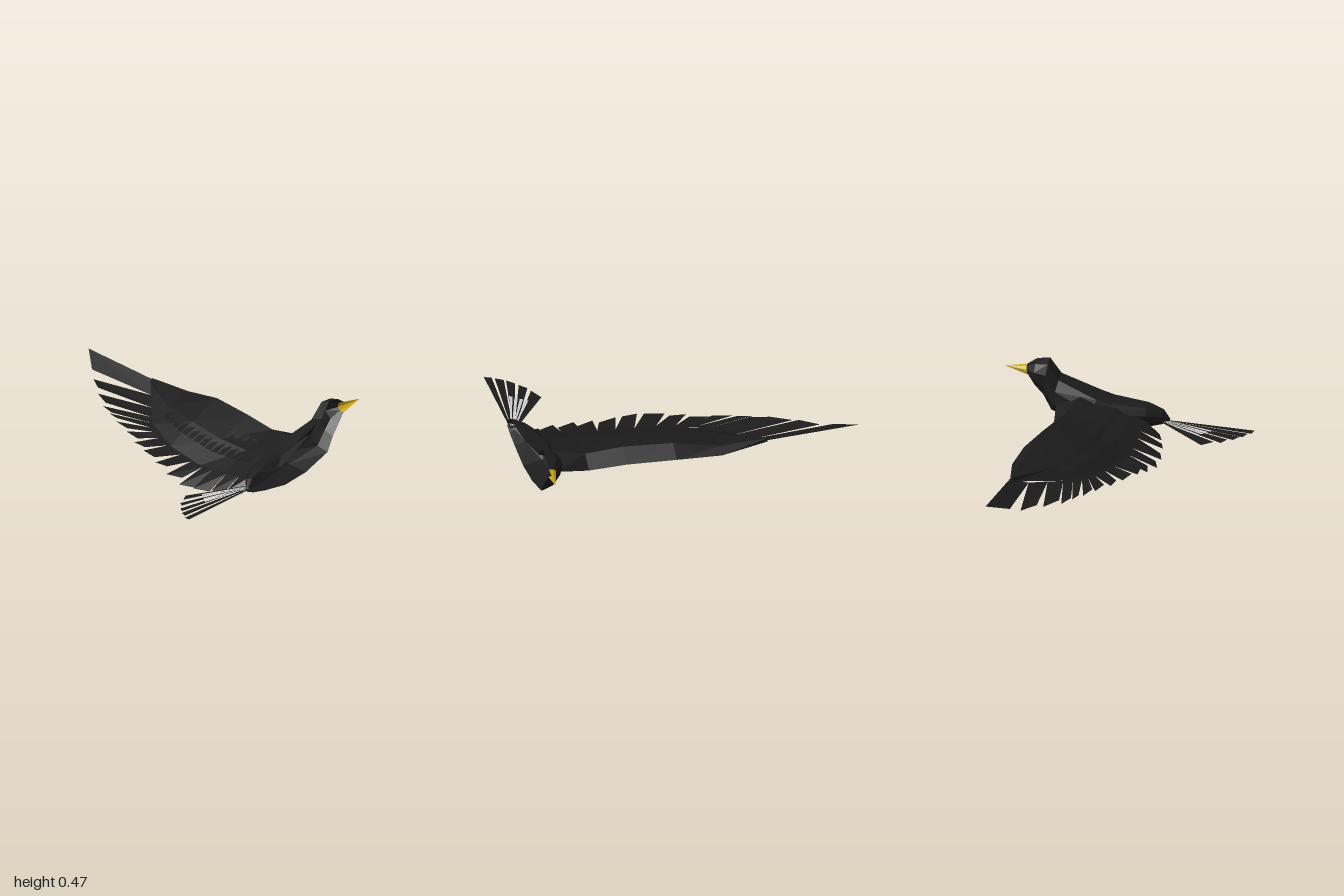
import * as THREE from 'three';

const paint = (color) => new THREE.MeshStandardMaterial({ color, flatShading: true, side: THREE.DoubleSide });
const black = paint(0x1c1c1c), yellow = paint(0xc8a814), grey = paint(0xcccccc);

// Skin a surface through cross-sections, each a list of [x, y, z]
function loft(name, rings, material, closed = false) {
  const pos = [], n = rings[0].length;
  for (let i = 0; i < rings.length - 1; i++) {
    for (let j = 0; j < (closed ? n : n - 1); j++) {
      const k = (j + 1) % n;
      const a = rings[i][j], b = rings[i][k], c = rings[i + 1][k], d = rings[i + 1][j];
      pos.push(...a, ...c, ...b, ...a, ...d, ...c);
    }
  }
  const geo = new THREE.BufferGeometry();
  geo.setAttribute('position', new THREE.Float32BufferAttribute(pos, 3));
  geo.computeVertexNormals();
  const mesh = new THREE.Mesh(geo, material);
  mesh.name = name;
  return mesh;
}

// Open half ring on the centre plane z = 1, from a top point to a bottom point
function halfRing([tx, ty, bx, by, w]) {
  return Array.from({ length: 6 }, (_, j) => {
    const a = (j / 5) * Math.PI, t = (1 - Math.cos(a)) / 2;
    return [tx + (bx - tx) * t, ty + (by - ty) * t, 1 - w * Math.sin(a)];
  });
}

// top x, top y, bottom x, bottom y, half width
const bodySections = [
  [-0.25, 0.115, -0.25, 0.1, 0.02],
  [-0.21, 0.175, -0.2, 0.08, 0.06],
  [-0.12, 0.215, -0.09, 0.06, 0.12],
  [0.09, 0.25, 0.09, 0.04, 0.2],
  [0.17, 0.275, 0.28, 0.065, 0.22],
  [0.42, 0.37, 0.475, 0.135, 0.13],
  [0.49, 0.465, 0.525, 0.225, 0.11],
  [0.57, 0.455, 0.575, 0.29, 0.11],
  [0.63, 0.415, 0.62, 0.35, 0.05],
];
const beakSections = [[0.63, 0.415, 0.62, 0.35, 0.05], [0.765, 0.395, 0.765, 0.394, 0.001]];

// z, leading x y, crest x y, trailing x y, underside y
const wingSections = [
  [0.88, 0.43, 0.22, 0.28, 0.27, -0.13, 0.13, 0.09],
  [0.68, 0.41, 0.17, 0.33, 0.24, -0.1, 0.09, 0.1],
  [0.45, 0.445, 0.19, 0.36, 0.265, -0.07, 0.065, 0.125],
  [0.15, 0.5, 0.2, 0.42, 0.27, 0, 0.085, 0.145],
  [-0.13, 0.525, 0.19, 0.47, 0.222, 0.14, 0.11, 0.15],
  [-0.43, 0.485, 0.2, 0.48, 0.221, 0.46, 0.195, 0.195],
];
const topRear = ([, , , cx, cy, tx, ty]) => [cx * 0.45 + tx * 0.55, cy * 0.5 + ty * 0.5 + 0.012];
const wingRing = (s) => {
  const [z, lx, ly, cx, cy, tx, ty, by] = s;
  return [[lx, ly, z], [cx, cy, z], [...topRear(s), z], [tx, ty, z], [cx * 0.75 + tx * 0.25, by, z]];
};

// Point on the upper wing between crest (t = 0) and trailing edge (t = 1)
function wingTop(z, t, lift) {
  let i = 0;
  while (i < wingSections.length - 2 && z < wingSections[i + 1][0]) i++;
  const a = wingSections[i], b = wingSections[i + 1], f = (a[0] - z) / (a[0] - b[0]);
  const s = a.map((v, k) => v + (b[k] - v) * f);
  const [mx, my] = topRear(s), u = t < 0.55 ? t / 0.55 : (t - 0.55) / 0.45;
  const [p, q] = t < 0.55 ? [[s[3], s[4]], [mx, my]] : [[mx, my], [s[5], s[6]]];
  return [p[0] + (q[0] - p[0]) * u, p[1] + (q[1] - p[1]) * u + lift, z];
}

// Points between neighbouring flight feathers, from body to wing tip
const notches = [
  [-0.13, 0.12, 0.89], [-0.1, 0.1, 0.8], [-0.1, 0.09, 0.7], [-0.09, 0.075, 0.57],
  [-0.08, 0.065, 0.48], [-0.06, 0.065, 0.37], [-0.03, 0.07, 0.26], [0, 0.085, 0.13],
  [0.04, 0.09, 0.02], [0.07, 0.1, -0.05], [0.1, 0.105, -0.1], [0.15, 0.11, -0.13],
  [0.2, 0.12, -0.19], [0.285, 0.135, -0.25], [0.385, 0.16, -0.35], [0.485, 0.21, -0.43],
];
// Feather tips: inner x z, outer x z, y
const tips = [
  [-0.2, 0.91, -0.23, 0.81, 0.045], [-0.235, 0.79, -0.255, 0.71, 0.03],
  [-0.245, 0.68, -0.27, 0.575, 0.01], [-0.235, 0.57, -0.265, 0.455, 0],
  [-0.21, 0.43, -0.23, 0.32, 0.02], [-0.19, 0.29, -0.19, 0.195, 0.05],
  [-0.16, 0.16, -0.125, 0.04, 0.065], [-0.09, 0.02, -0.075, -0.08, 0.07],
  [-0.035, -0.09, 0, -0.21, 0.08], [0.015, -0.22, 0.05, -0.34, 0.095],
  [0.075, -0.36, 0.1, -0.44, 0.105], [0.11, -0.43, 0.15, -0.54, 0.11],
  [0.165, -0.53, 0.24, -0.66, 0.13], [0.275, -0.69, 0.355, -0.8, 0.15],
  [0.41, -0.86, 0.535, -1, 0.18],
];

// Tail feather tips: x z of both corners
const tailTips = [
  [-0.77, 0.99, -0.76, 0.945], [-0.74, 0.93, -0.715, 0.88], [-0.7, 0.87, -0.665, 0.825],
  [-0.635, 0.81, -0.6, 0.765], [-0.56, 0.755, -0.49, 0.71],
];

export function createModel() {
  const bird = new THREE.Group();
  bird.name = 'bird';
  bird.add(loft('body', bodySections.map(halfRing), black));
  bird.add(loft('beak', beakSections.map(halfRing), yellow));

  const wing = new THREE.Group();
  wing.name = 'wing';
  wing.add(loft('wingArm', wingSections.map(wingRing), black, true));

  // Flight feathers, rooted a little inside the arm
  tips.forEach(([ix, iz, ox, oz, y], i) => {
    const root = (k) => {
      const [x, h, z] = notches[k], s = 1 - k / 15;
      return [x + 0.08 * s, h + 0.02 * s, z];
    };
    const outerY = i === 14 ? 0.24 : y;
    wing.add(loft('flightFeather', [
      [root(i), root(i + 1)], [notches[i], notches[i + 1]], [[ix, y, iz], [ox, outerY, oz]],
    ], black));
  });

  // Covert feathers lying on top of the wing
  for (let i = 0; i < 15; i++) {
    const z = 0.8 - i * 0.06;
    wing.add(loft('covertFeather', [
      [wingTop(z, 0.3, 0.001), wingTop(z - 0.045, 0.3, 0.001)],
      [wingTop(z + 0.01, 0.78, 0.014), wingTop(z - 0.045, 0.78, 0.008)],
    ], black));
  }
  bird.add(wing);

  // Fanned tail, with pale shorter feathers between the dark ones
  const tail = new THREE.Group();
  tail.name = 'tail';
  tailTips.forEach(([ax, az, bx, bz], i) => {
    const z = 0.995 - i * 0.009;
    tail.add(loft('tailFeather', [
      [[-0.2, 0.11, z], [-0.2, 0.11, z - 0.009]], [[ax, 0.076, az], [bx, 0.072 - i * 0.001, bz]],
    ], black));
    if (i === 0) return;
    const cx = -0.55 + i * 0.022, cz = 0.93 - i * 0.027;
    tail.add(loft('paleTailFeather', [
      [[-0.22, 0.111, z], [-0.22, 0.111, z - 0.006]], [[cx, 0.092, cz], [cx + 0.012, 0.092, cz - 0.018]],
    ], grey));
  });
  bird.add(tail);
  return bird;
}
